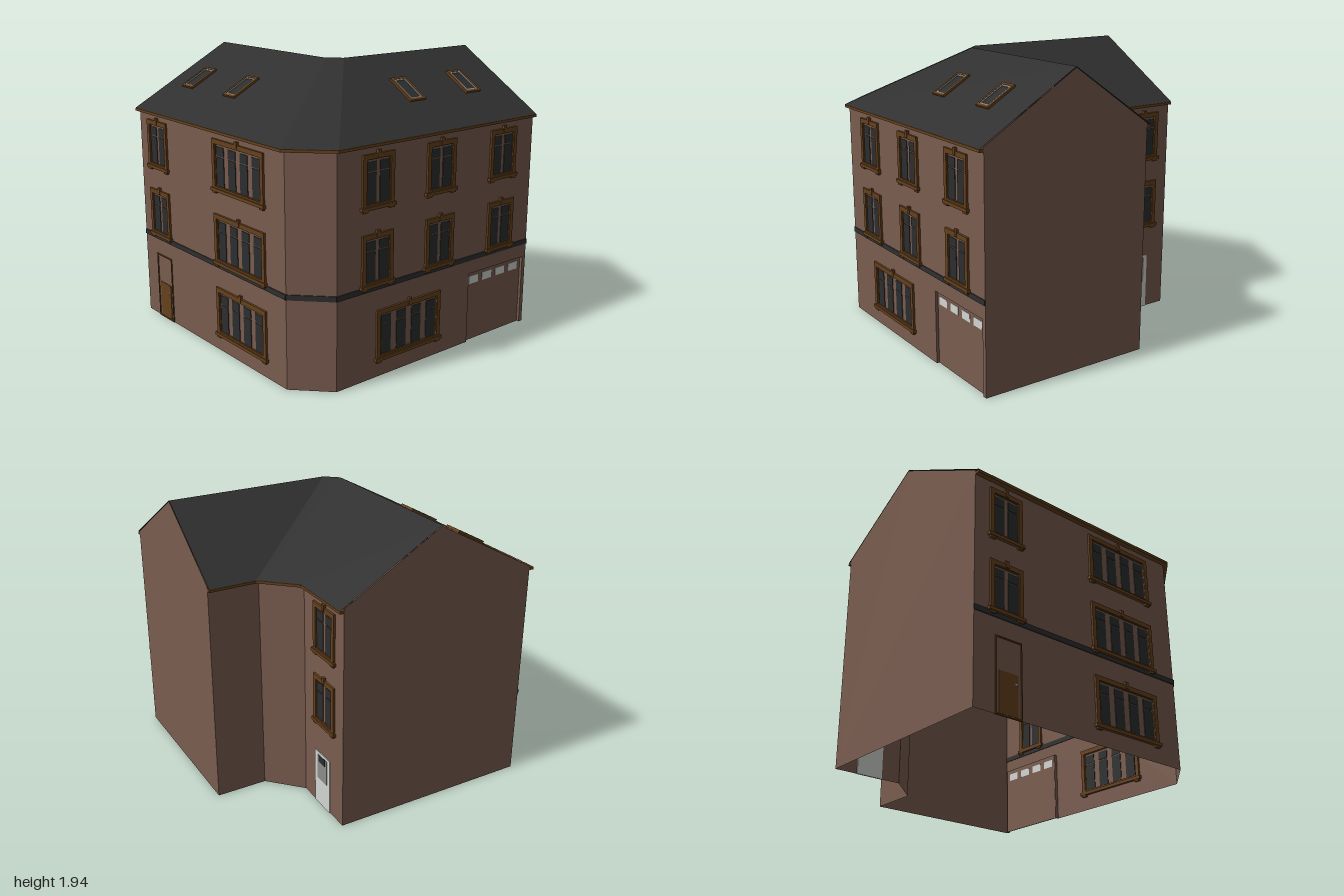
import * as THREE from 'three';

const mat = (name, color) => {
  const m = new THREE.MeshStandardMaterial({ color, side: THREE.DoubleSide });
  m.name = name;
  return m;
};

export function createModel() {
  const wallMat = mat('brown plaster', 0x795c4f);
  const slate = mat('dark slate', 0x2f2f2f);
  const wood = mat('brown wood', 0x65401c);
  const glass = mat('dark glass', 0x2c2d2e);
  const white = mat('off white', 0xd2d5d1);
  const grey = mat('grey metal', 0x8c8c8a);

  const house = new THREE.Group();
  house.name = 'cornerHouse';

  const add = (parent, name, geo, material, x = 0, y = 0, z = 0) => {
    const m = new THREE.Mesh(geo, material);
    m.name = name;
    m.position.set(x, y, z);
    parent.add(m);
    return m;
  };
  const box = (parent, name, material, w, h, d, x, y, z) =>
    add(parent, name, new THREE.BoxGeometry(w, h, d), material, x, y, z);

  // rectangular ring lying in the xy plane, centred on the origin
  const ring = (w, h, side, depth, top = side) => {
    const rect = (S, x0, y0, x1, y1) =>
      new S([[x0, y0], [x1, y0], [x1, y1], [x0, y1]].map((p) => new THREE.Vector2(...p)));
    const s = rect(THREE.Shape, -w / 2, -h / 2, w / 2, h / 2);
    s.holes.push(rect(THREE.Path, -w / 2 + side, -h / 2 + side, w / 2 - side, h / 2 - top));
    return new THREE.ExtrudeGeometry(s, { depth, bevelEnabled: false }).translate(0, 0, -depth / 2);
  };

  // group whose x runs from a to b on the plan and whose z points outwards
  const run = (name, a, b) => {
    const g = new THREE.Group();
    g.name = name;
    g.position.set(a[0], 0, a[1]);
    g.rotation.y = Math.atan2(a[1] - b[1], b[0] - a[0]);
    g.userData.length = Math.hypot(b[0] - a[0], b[1] - a[1]);
    house.add(g);
    return g;
  };

  // walls: start, end, and an optional gable peak [distance, height]
  const TOP = 1.54;
  const wall = (name, a, b, peak, notch) => {
    const g = run(name, a, b);
    const L = g.userData.length;
    const pts = [[0, 0]];
    if (notch) pts.push([notch[0], 0], [notch[0], notch[2]], [notch[1], notch[2]], [notch[1], 0]);
    pts.push([L, 0], [L, TOP]);
    if (peak) pts.push(peak);
    pts.push([0, TOP]);
    const shape = new THREE.Shape(pts.map((p) => new THREE.Vector2(...p)));
    add(g, name + 'Surface', new THREE.ShapeGeometry(shape), wallMat);
    return g;
  };
  const left = wall('leftWall', [-0.965, -0.98], [-0.965, 0.73]);
  const corner = wall('cornerWall', [-0.965, 0.73], [-0.75, 0.95]);
  const front = wall('frontWall', [-0.75, 0.95], [1, 0.95], null, [1.16, 1.72, 0.5]);
  wall('rightGable', [1, 0.95], [1, -0.27], [0.65, 1.935]);
  wall('yardWall', [1, -0.27], [0.65, -0.27]);
  wall('yardCornerWall', [0.65, -0.27], [0.44, -0.49]);
  const yard = wall('yardSideWall', [0.44, -0.49], [0.44, -0.98]);
  wall('backGable', [0.44, -0.98], [-0.965, -0.98], [0.68, 1.935]);

  // string course along the street walls
  for (const g of [left, corner, front]) {
    const L = g.userData.length;
    box(g, 'stringCourse', slate, L, 0.035, 0.012, L / 2, 0.61, 0);
  }

  // window with surround, keystone, sill, corbels and panes
  const addWindow = (g, x, y, w = 0.255, count = 2) => {
    const win = new THREE.Group();
    win.name = 'window';
    win.position.set(x, y, 0);
    g.add(win);
    add(win, 'surround', ring(w, 0.34, 0.03, 0.028, 0.032), wood, 0, 0.185, 0);
    add(win, 'innerFrame', ring(w - 0.056, 0.284, 0.006, 0.016), wood, 0, 0.184, 0);
    box(win, 'keystone', wood, 0.026, 0.045, 0.036, 0, 0.353, 0);
    box(win, 'sill', wood, w + 0.025, 0.022, 0.044, 0, 0.022, 0);
    for (const s of [-1, 1]) box(win, 'corbel', wood, 0.04, 0.02, 0.034, s * (w / 2 - 0.02), 0.008, 0);
    const pitch = (w - 0.035) / count;
    for (let i = 0; i < count; i++) {
      const px = (i - (count - 1) / 2) * pitch;
      box(win, 'lowerPane', glass, 0.082, 0.2, 0.008, px, 0.14, 0);
      box(win, 'upperPane', glass, 0.082, 0.06, 0.008, px, 0.277, 0);
    }
  };
  const FLOORS = [0.1, 0.61, 1.11];
  for (const y of FLOORS.slice(1)) {
    for (const x of [-0.43, 0.11, 0.7]) addWindow(front, x + 0.75, y);
    addWindow(left, 0.24, y);
    addWindow(yard, 0.26, y);
  }
  addWindow(front, 0.6, FLOORS[0], 0.56, 4);
  for (const y of FLOORS) addWindow(left, 1.23, y, 0.56, 4);

  // recessed garage door with four lights
  box(front, 'garageDoor', wallMat, 0.56, 0.5, 0.006, 1.44, 0.25, -0.022);
  for (const x of [1.16, 1.72]) box(front, 'garageJamb', wallMat, 0.004, 0.5, 0.022, x, 0.25, -0.011);
  box(front, 'garageLintel', wallMat, 0.56, 0.004, 0.022, 1.44, 0.5, -0.011);
  for (let i = 0; i < 4; i++)
    box(front, 'garageLight', white, 0.092, 0.055, 0.009, 1.23 + i * 0.136, 0.44, -0.021);

  // white yard door with a glazed panel
  box(yard, 'yardDoor', white, 0.19, 0.4, 0.012, 0.235, 0.2, 0);
  box(yard, 'yardDoorPanel', grey, 0.12, 0.18, 0.018, 0.24, 0.29, 0);
  box(yard, 'yardDoorGlass', glass, 0.08, 0.05, 0.022, 0.235, 0.355, 0);

  // street door on the left wall
  add(left, 'streetDoorFrame', ring(0.2, 0.48, 0.008, 0.014), wood, 0.255, 0.24, 0);
  box(left, 'streetDoorPanel', wood, 0.14, 0.26, 0.009, 0.255, 0.14, 0);
  box(left, 'streetDoorKnob', white, 0.014, 0.014, 0.024, 0.31, 0.21, 0);

  // roof: eave corners and ridge points on the plan
  const E = 1.53, R = 1.94;
  const eaves = [[-1, -0.98], [-1, 0.74], [-0.76, 0.98], [1, 0.98],
    [1, -0.3], [0.68, -0.3], [0.47, -0.5], [0.47, -0.98]];
  const ridge = [[-0.24, -0.98], [-0.24, 0.22], [-0.15, 0.3], [1, 0.3]];
  const slopes = [[0, 1, 1, 0], [1, 2, 2, 1], [2, 3, 3, 2], [4, 5, 2, 3], [5, 6, 1, 2], [6, 7, 0, 1]];
  const verts = [];
  for (const [a, b, c, d] of slopes) {
    const q = [eaves[a], eaves[b], ridge[c], ridge[d]].map((p, i) => [p[0], i < 2 ? E : R, p[1]]);
    for (const k of [0, 1, 2, 0, 2, 3]) verts.push(...q[k]);
    // gutter board under each eave
    const g = run('eave', eaves[a], eaves[b]);
    const L = g.userData.length;
    box(g, 'gutterBoard', wood, L, 0.018, 0.034, L / 2, E - 0.011, -0.017);
  }
  const roofGeo = new THREE.BufferGeometry();
  roofGeo.setAttribute('position', new THREE.Float32BufferAttribute(verts, 3));
  roofGeo.computeVertexNormals();
  add(house, 'roof', roofGeo, slate);

  // roof lights lying on the front and left slopes
  const skylight = (x, y, z, turn, tilt) => {
    const g = new THREE.Group();
    g.name = 'skylight';
    g.position.set(x, y, z);
    g.rotation.set(tilt - Math.PI / 2, turn, 0, 'YXZ');
    house.add(g);
    add(g, 'skylightFrame', ring(0.135, 0.23, 0.017, 0.03), wood);
    add(g, 'skylightTrim', ring(0.103, 0.198, 0.013, 0.024), grey);
    box(g, 'skylightGlass', glass, 0.078, 0.173, 0.009, 0, 0, 0.003);
  };
  for (const x of [0.115, 0.635]) skylight(x, 1.744, 0.625, 0, Math.atan(0.41 / 0.68));
  for (const z of [-0.715, -0.195]) skylight(-0.625, 1.732, z, -Math.PI / 2, Math.atan(0.41 / 0.76));

  return house;
}
